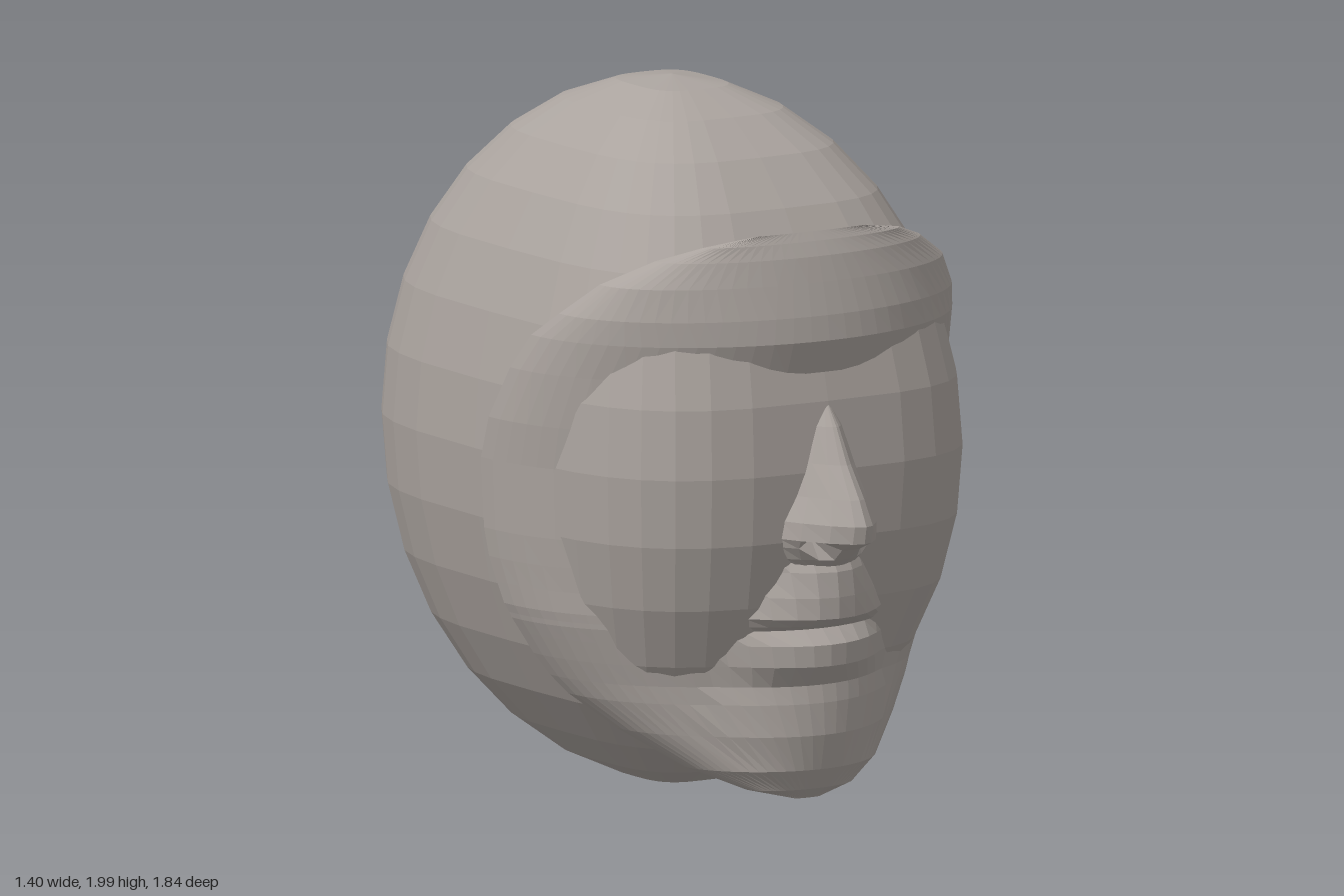
import * as THREE from 'three';

// Faceted sheet through rows of points, rows running top to bottom and points from +x to -x
function sheet(rows) {
  const n = rows[0].length, index = [];
  for (let i = 0; i < rows.length - 1; i++) {
    for (let j = 0; j < n - 1; j++) {
      const a = i * n + j, c = a + n;
      index.push(a, a + 1, c, a + 1, c + 1, c);
    }
  }
  const g = new THREE.BufferGeometry();
  g.setAttribute('position', new THREE.Float32BufferAttribute(rows.flat(2), 3));
  g.setIndex(index);
  const flat = g.toNonIndexed();
  flat.computeVertexNormals();
  return flat;
}

const signedPow = (v, p) => Math.sign(v) * Math.abs(v) ** p;

// Ellipsoid with a rounded-square horizontal section
function skullGeometry() {
  const rows = [], stacks = 16, sides = 32;
  for (let i = 0; i <= stacks; i++) {
    const lat = (i / stacks) * Math.PI, s = Math.sin(lat), row = [];
    for (let j = 0; j <= sides; j++) {
      const a = (j / sides) * Math.PI * 2;
      row.push([
        0.65 * s * signedPow(Math.cos(a), 0.59),
        1.003 + 0.997 * Math.cos(lat),
        -0.092 + 0.83 * s * signedPow(Math.sin(a), 0.59),
      ]);
    }
    rows.push(row);
  }
  return sheet(rows);
}

// Face mask rows: height, half width, edge z, centre z, mouth bulge, bulge half width
const MASK = [
  [1.665, 0.18, 0.63, 0.64, 0, 1],
  [1.64, 0.32, 0.58, 0.655, 0, 1],
  [1.6, 0.43, 0.5, 0.675, 0, 1],
  [1.53, 0.55, 0.4, 0.695, 0, 1],
  [1.44, 0.62, 0.3, 0.72, 0, 1],
  [1.37, 0.655, 0.21, 0.73, 0, 1],
  [1.27, 0.68, 0.14, 0.7, 0, 1],
  [1.12, 0.7, 0.06, 0.68, 0, 1],
  [1.0, 0.7, 0.02, 0.67, 0, 1],
  [0.8, 0.69, 0.02, 0.66, 0.06, 0.14],
  [0.72, 0.68, 0.03, 0.65, 0.12, 0.2],
  [0.65, 0.667, 0.05, 0.64, 0.14, 0.25],
  [0.59, 0.655, 0.07, 0.64, 0.14, 0.28],
  [0.565, 0.645, 0.08, 0.64, 0.09, 0.28],
  [0.55, 0.64, 0.085, 0.64, 0.05, 0.27],
  [0.51, 0.62, 0.1, 0.635, 0.105, 0.28],
  [0.45, 0.59, 0.12, 0.63, 0.11, 0.28],
  [0.39, 0.555, 0.15, 0.625, 0.065, 0.28],
  [0.34, 0.52, 0.19, 0.63, 0.07, 0.3],
  [0.25, 0.43, 0.3, 0.64, 0.065, 0.3],
  [0.15, 0.3, 0.45, 0.65, 0.035, 0.3],
  [0.09, 0.17, 0.565, 0.65, 0, 1],
  [0.06, 0.04, 0.615, 0.62, 0, 1],
];

function maskGeometry() {
  const cols = 36;
  return sheet(MASK.map(([y, w, edge, mid, bulge, bw]) => {
    const row = [];
    for (let j = 0; j <= cols; j++) {
      const a = (0.5 - j / cols) * Math.PI, x = w * Math.sin(a);
      const f = Math.max(0, 1 - (x / bw) ** 2);
      row.push([x, y, edge + (mid - edge) * Math.cos(a) + bulge * f ** 1.2]);
    }
    return row;
  }));
}

// Nose rows: height, half width, ridge z, nostril depth
const NOSE = [
  [1.19, 0.012, 0.72, 0],
  [1.13, 0.05, 0.765, 0],
  [1.03, 0.085, 0.82, 0],
  [0.94, 0.115, 0.885, 0],
  [0.87, 0.148, 0.922, 0],
  [0.82, 0.154, 0.912, 0],
  [0.795, 0.146, 0.85, 0.06],
  [0.76, 0.125, 0.8, 0],
  [0.725, 0.08, 0.74, 0],
];

function noseGeometry() {
  const across = [1, 1, 0.8, 0.5, 0.2, 0, -0.2, -0.5, -0.8, -1, -1];
  return sheet(NOSE.map(([y, w, ridge, dent]) => across.map((f, j) => {
    const back = j === 0 || j === across.length - 1;
    const z = back ? 0.62 : ridge - (ridge - 0.71) * Math.abs(f) ** 1.7;
    const nostril = Math.abs(f) === 0.5 ? dent : 0;
    return [w * f, y + nostril * 0.4, z - nostril];
  })));
}

export function createModel() {
  const clay = new THREE.MeshStandardMaterial({
    color: 0xaaa39e, flatShading: true, side: THREE.DoubleSide,
  });
  clay.name = 'warm grey clay';
  const model = new THREE.Group();
  model.name = 'head';
  const parts = { skull: skullGeometry(), faceMask: maskGeometry(), nose: noseGeometry() };
  for (const [name, geometry] of Object.entries(parts)) {
    const mesh = new THREE.Mesh(geometry, clay);
    mesh.name = name;
    model.add(mesh);
  }
  return model;
}
